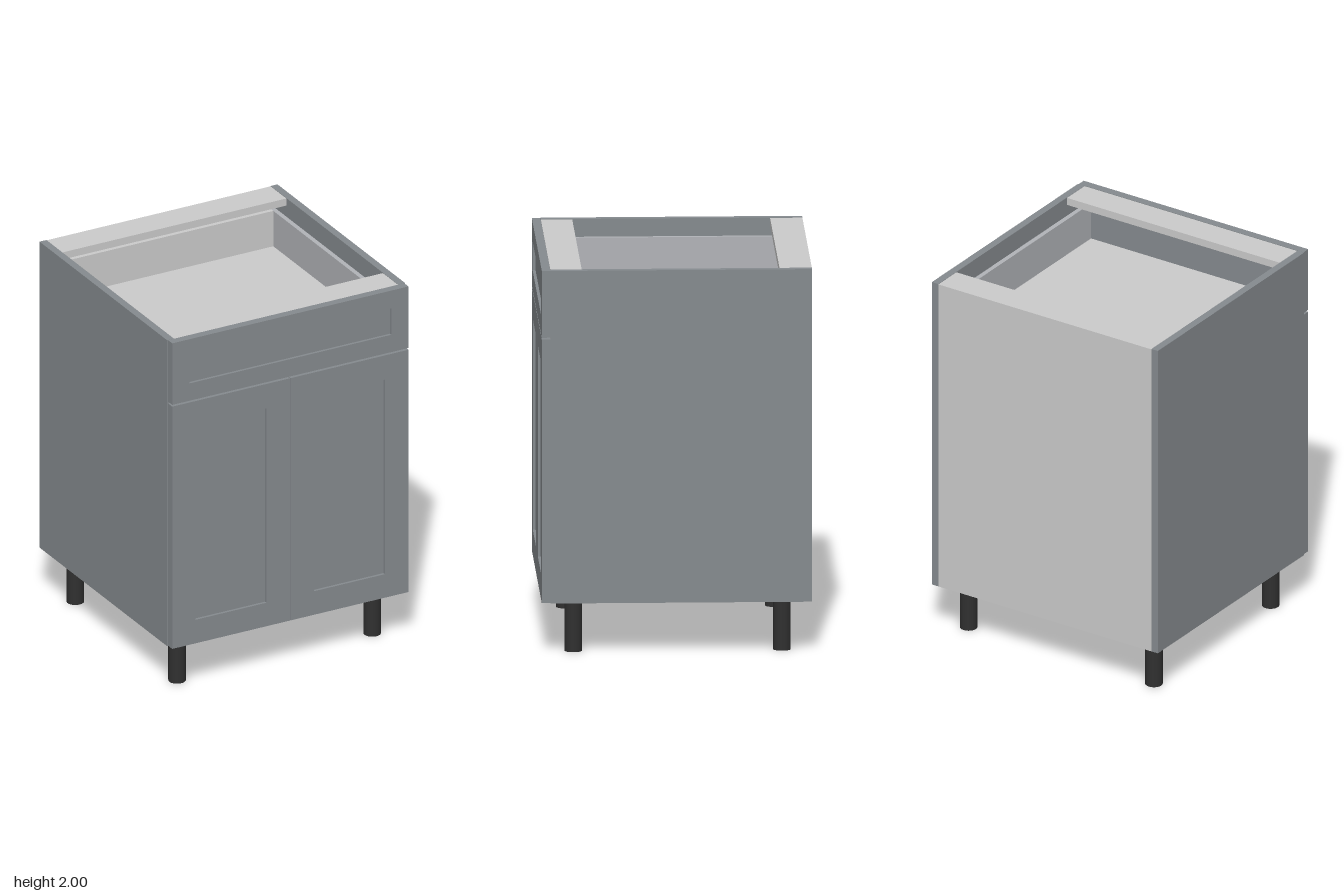
import * as THREE from 'three';

const paint = new THREE.MeshStandardMaterial({ color: 0x868b8f });
const board = new THREE.MeshStandardMaterial({ color: 0xcccccc });
const drawerSideMat = new THREE.MeshStandardMaterial({ color: 0xb2b4b8 });
const black = new THREE.MeshStandardMaterial({ color: 0x303030 });

// Box given by its minimum and maximum on each axis
function box(name, material, [x0, x1], [y0, y1], [z0, z1]) {
  const mesh = new THREE.Mesh(new THREE.BoxGeometry(x1 - x0, y1 - y0, z1 - z0), material);
  mesh.position.set((x0 + x1) / 2, (y0 + y1) / 2, (z0 + z1) / 2);
  mesh.name = name;
  return mesh;
}

function rectangle(path, x0, x1, y0, y1) {
  path.moveTo(x0, y0);
  path.lineTo(x1, y0);
  path.lineTo(x1, y1);
  path.lineTo(x0, y1);
  path.closePath();
  return path;
}

// Framed front with a shallow recessed centre panel
function framedFront(name, [x0, x1], [y0, y1], [hx0, hx1], [hy0, hy1]) {
  const group = new THREE.Group();
  group.name = name;
  const shape = rectangle(new THREE.Shape(), x0, x1, y0, y1);
  shape.holes.push(rectangle(new THREE.Path(), hx0, hx1, hy0, hy1));
  const frame = new THREE.Mesh(
    new THREE.ExtrudeGeometry(shape, { depth: 0.044, bevelEnabled: false }), paint);
  frame.position.z = 0.646;
  frame.name = name + 'Frame';
  group.add(frame, box(name + 'Panel', paint, [hx0, hx1], [hy0, hy1], [0.646, 0.675]));
  return group;
}

export function createModel() {
  const model = new THREE.Group();
  model.name = 'baseCabinet';
  const inner = [-0.655, 0.655];

  // Carcass
  model.add(
    box('rightSide', paint, [-0.695, -0.655], [0.27, 2], [-0.69, 0.645]),
    box('leftSide', paint, [0.655, 0.695], [0.27, 2], [-0.69, 0.645]),
    box('backPanel', board, inner, [0.27, 1.998], [-0.69, -0.65]),
    box('bottomPanel', board, inner, [0.272, 0.312], [-0.65, 0.645]),
    box('backTopRail', board, inner, [1.958, 1.998], [-0.65, -0.525]),
    box('frontTopRail', board, inner, [1.958, 1.998], [0.485, 0.645]),
    box('middleRail', board, inner, [1.63, 1.67], [0.485, 0.645]),
  );

  // Drawer
  const drawer = new THREE.Group();
  drawer.name = 'drawer';
  drawer.add(
    framedFront('drawerFront', [-0.69, 0.69], [1.652, 2], [-0.59, 0.59], [1.75, 1.9]),
    box('drawerBottom', board, [-0.615, 0.615], [1.685, 1.71], [-0.59, 0.645]),
    box('drawerBack', board, [-0.615, 0.615], [1.685, 1.91], [-0.615, -0.59]),
  );
  for (const s of [-1, 1]) {
    const side = box('drawerSide', drawerSideMat, [-0.0125, 0.0125], [1.685, 1.91], [-0.615, 0.645]);
    side.position.x = s * 0.6275;
    const slide = box('drawerSlide', board, [-0.0075, 0.0075], [1.69, 1.73], [-0.6, 0.64]);
    slide.position.x = s * 0.6475;
    drawer.add(side, slide);
  }
  model.add(drawer);

  // Doors
  model.add(
    framedFront('rightDoor', [-0.69, -0.002], [0.272, 1.642], [-0.555, -0.14], [0.405, 1.505]),
    framedFront('leftDoor', [0.002, 0.69], [0.272, 1.642], [0.137, 0.552], [0.405, 1.505]),
  );

  // Legs
  const legGeometry = new THREE.CylinderGeometry(0.045, 0.045, 0.272, 32);
  for (const x of [-0.57, 0.57]) {
    for (const z of [-0.54, 0.525]) {
      const leg = new THREE.Mesh(legGeometry, black);
      leg.position.set(x, 0.136, z);
      leg.name = 'leg';
      model.add(leg);
    }
  }
  return model;
}
